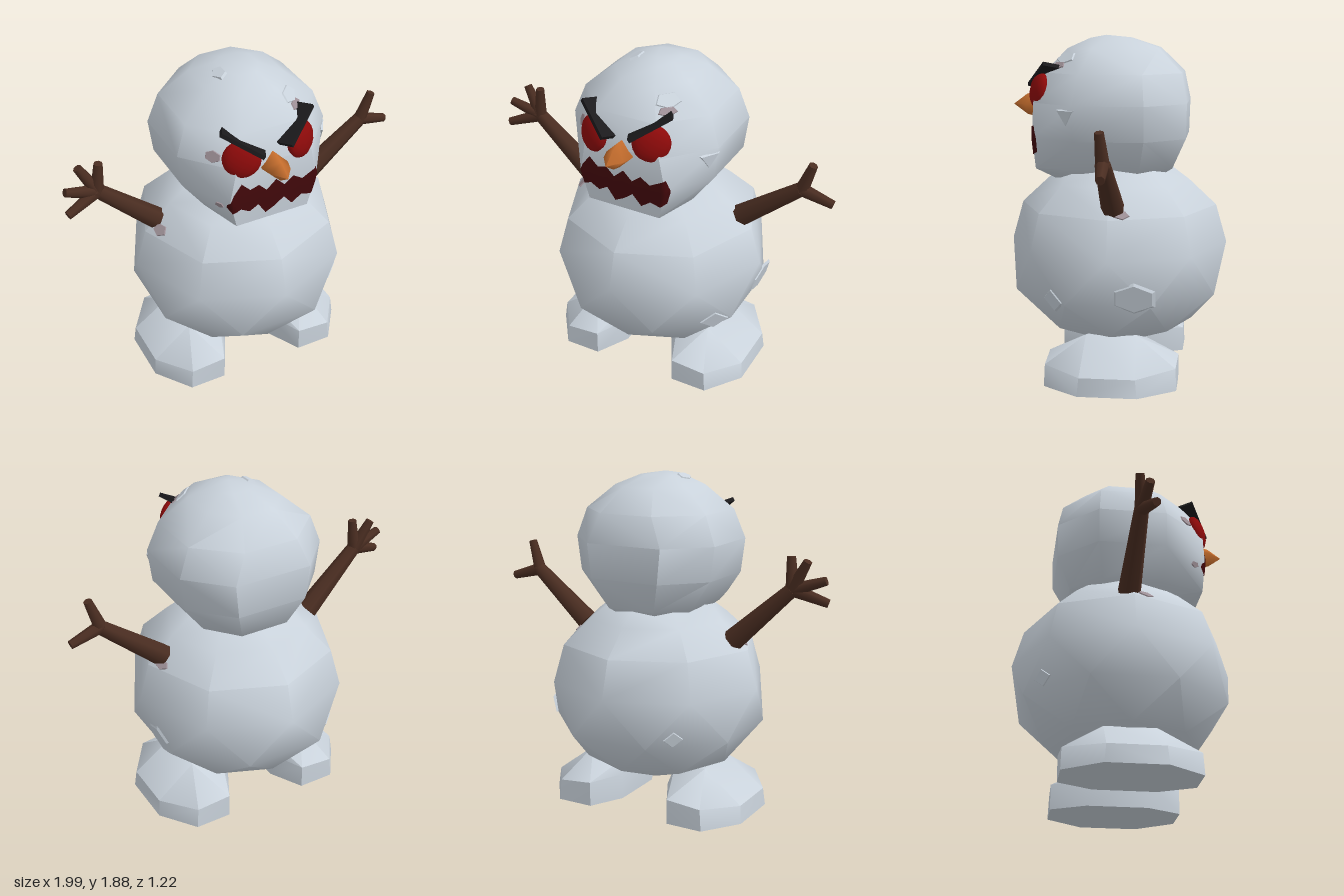
import * as THREE from 'three';
import { toCreasedNormals } from 'three/addons/utils/BufferGeometryUtils.js';
import { ConvexGeometry } from 'three/addons/geometries/ConvexGeometry.js';

const V = (x, y, z) => new THREE.Vector3(x, y, z);
const mat = (name, color, side = THREE.FrontSide) => {
  const m = new THREE.MeshStandardMaterial({ color, side });
  m.name = name;
  return m;
};

export function createModel() {
  const snow = mat('snow', 0xc9d2db);
  const stain = mat('stained snow', 0x9d8f96);
  const wood = mat('bark', 0x4a2d21);
  const carrot = mat('carrot', 0xc86f2e);
  const eyeRed = mat('eye red', 0x8e0a0a);
  const mouthRed = mat('mouth red', 0x43080b, THREE.DoubleSide);
  const black = mat('brow black', 0x1b1a1c);

  const root = new THREE.Group();
  root.name = 'snowman';
  const add = (name, geometry, material, parent = root) => {
    const mesh = new THREE.Mesh(geometry, material);
    mesh.name = name;
    parent.add(mesh);
    return mesh;
  };
  const hull = (points, crease = 0.8) => toCreasedNormals(new ConvexGeometry(points), crease);

  // Body: eight-sided rings [y, radius, stagger] wrapped in a faceted hull
  const bodyPoints = [V(0, 0.155, 0)];
  for (const [y, r, stagger] of [[0.18, 0.18, 0.5], [0.28, 0.42, 0], [0.48, 0.595, 0.5],
    [0.73, 0.61, 0], [0.94, 0.55, 0], [1.08, 0.4, 0], [1.17, 0.28, 0]]) {
    for (let i = 0; i < 8; i++) {
      const a = (i + stagger) * Math.PI / 4;
      bodyPoints.push(V(r * Math.sin(a), y, r * Math.cos(a)));
    }
  }
  const body = add('body', hull(bodyPoints), snow);

  // Head: chamfered rings [y, half width, back z, front z, front flat, back flat]
  const headPoints = [V(0, 1.88, 0.07)];
  for (const [y, w, back, front, flatF, flatB] of [[1.1, 0.2, -0.22, 0.34, 0.7, 0.5],
    [1.16, 0.28, -0.31, 0.435, 0.75, 0.5], [1.33, 0.405, -0.385, 0.445, 0.62, 0.5],
    [1.52, 0.43, -0.39, 0.445, 0.5, 0.52], [1.68, 0.37, -0.36, 0.39, 0.45, 0.42],
    [1.81, 0.22, -0.23, 0.27, 0.45, 0.42], [1.865, 0.1, -0.07, 0.15, 0.5, 0.5]]) {
    for (const s of [-1, 1]) {
      headPoints.push(V(s * w * flatF, y, front), V(s * w, y, front * 0.45),
        V(s * w * flatB, y, back), V(s * w, y, back * 0.45));
    }
  }
  const head = add('head', hull(headPoints), snow);

  // Feet
  for (const s of [-1, 1]) {
    const points = [];
    for (const z of [-1, 1]) {
      for (const [x, y, d] of [[0.15, 0, 0.17], [0.25, 0, 0.36], [0.46, 0, 0.36], [0.605, 0, 0.16],
        [0.15, 0.15, 0.17], [0.25, 0.14, 0.36], [0.45, 0.12, 0.355], [0.595, 0.1, 0.15],
        [0.16, 0.24, 0.1], [0.37, 0.27, 0.14]]) points.push(V(s * x, y, z * d));
    }
    add(s > 0 ? 'leftFoot' : 'rightFoot', hull(points), snow);
  }

  // Arms: tapered sticks that fork into twigs
  const stick = (name, a, b, r0, r1, parent) => {
    const dir = b.clone().sub(a);
    const mesh = add(name, new THREE.CylinderGeometry(r1, r0, dir.length(), 7), wood, parent);
    mesh.position.copy(a).addScaledVector(dir, 0.5);
    mesh.quaternion.setFromUnitVectors(V(0, 1, 0), dir.normalize());
  };
  const arm = (name, base, fork, tips) => {
    const group = new THREE.Group();
    group.name = name;
    root.add(group);
    stick('branch', base, fork, 0.063, 0.04, group);
    for (const tip of tips) stick('twig', fork, tip, 0.037, 0.024, group);
  };
  arm('leftArm', V(0.47, 0.99, -0.02), V(0.815, 1.27, -0.01),
    [V(0.87, 1.435, 0), V(0.99, 1.22, -0.02)]);
  arm('rightArm', V(-0.47, 0.99, -0.02), V(-0.8, 1.3, 0),
    [V(-0.985, 1.235, 0.05), V(-0.98, 1.36, 0.02), V(-0.89, 1.46, -0.02), V(-0.785, 1.475, 0.01)]);

  // Carrot nose with a diamond section
  const nose = add('nose', toCreasedNormals(new THREE.LatheGeometry(
    [[0.068, -0.04], [0.074, 0.03], [0.056, 0.09], [0, 0.165]].map(p => new THREE.Vector2(...p)), 4), 1.6), carrot);
  nose.rotation.x = Math.PI / 2;
  nose.position.set(-0.005, 1.495, 0.43);

  // Eyes: flattened balls turned outwards, cut off by slanted brows
  for (const [name, s, x, y] of [['leftEye', 1, 0.16, 1.585], ['rightEye', -1, -0.175, 1.56]]) {
    const eye = new THREE.Group();
    eye.name = name;
    eye.position.set(x, y, 0.42);
    eye.rotation.set(-0.2, s * 0.46, s * 0.52, 'YXZ');
    root.add(eye);
    const ball = add('eyeball', new THREE.SphereGeometry(0.1, 14, 8, 0, Math.PI * 2, 0.8, Math.PI - 0.8), eyeRed, eye);
    ball.scale.z = 0.45;
    const brow = add('brow', new THREE.BoxGeometry(0.25, 0.022, 0.1), black, eye);
    brow.position.set(s * 0.035, 0.074, -0.015);
  }

  // Mouth: columns [x, top, bottom] with jagged edges, laid on the face
  const columns = [[-0.26, 1.31, 1.29], [-0.235, 1.37, 1.25], [-0.19, 1.43, 1.27], [-0.14, 1.38, 1.24],
    [-0.09, 1.395, 1.27], [-0.045, 1.35, 1.2], [0.01, 1.4, 1.23], [0.06, 1.35, 1.27], [0.11, 1.39, 1.21],
    [0.165, 1.355, 1.25], [0.22, 1.385, 1.235], [0.25, 1.4, 1.255], [0.27, 1.345, 1.33]];
  const ray = new THREE.Raycaster();
  const faceZ = (x, y) => {
    ray.set(V(x, y, 2), V(0, 0, -1));
    return ray.intersectObject(head)[0].point.z;
  };
  const rows = 5, sub = 3, positions = [], index = [];
  const last = (columns.length - 1) * sub;
  for (let i = 0; i <= last; i++) {
    const k = Math.min(Math.floor(i / sub), columns.length - 2);
    const [x, top, bottom] = columns[k].map((v, j) => THREE.MathUtils.lerp(v, columns[k + 1][j], i / sub - k));
    for (let j = 0; j <= rows; j++) {
      const y = THREE.MathUtils.lerp(bottom, top, j / rows);
      positions.push(x, y, faceZ(x, y) + 0.006);
      if (i < last && j < rows) {
        const a = i * (rows + 1) + j, b = a + rows + 1;
        index.push(a, b, b + 1, a, b + 1, a + 1);
      }
    }
  }
  const mouthGeometry = new THREE.BufferGeometry();
  mouthGeometry.setAttribute('position', new THREE.Float32BufferAttribute(positions, 3));
  mouthGeometry.setIndex(index);
  mouthGeometry.computeVertexNormals();
  add('mouth', mouthGeometry, mouthRed);

  // Loose flakes and stains laid on the surface
  const flake = (target, centre, direction, w, h, sides, material = snow) => {
    const dir = direction.normalize();
    ray.set(centre.clone().addScaledVector(dir, 2), dir.clone().negate());
    const hit = ray.intersectObject(target)[0];
    const geometry = new THREE.CylinderGeometry(0.85, 1, 0.012, sides).toNonIndexed();
    geometry.scale(w, 1, h).rotateX(Math.PI / 2);
    geometry.computeVertexNormals();
    const mesh = add(material === snow ? 'snowFlake' : 'stain', geometry, material);
    mesh.position.copy(hit.point);
    mesh.lookAt(hit.point.clone().add(hit.face.normal));
  };
  const bodyCentre = V(0, 0.7, 0), headCentre = V(0, 1.49, 0.02);
  flake(body, bodyCentre, V(1, -0.3, -0.25), 0.13, 0.09, 6);
  flake(body, bodyCentre, V(0.8, -0.35, 0.5), 0.09, 0.07, 4);
  flake(body, bodyCentre, V(0.2, -0.85, 0.6), 0.08, 0.04, 5);
  flake(body, bodyCentre, V(-0.6, -0.3, -0.8), 0.06, 0.05, 4);
  flake(head, headCentre, V(0.42, 0.65, 0.6), 0.08, 0.05, 5);
  flake(head, headCentre, V(0.9, -0.05, 0.5), 0.07, 0.06, 3);
  flake(head, headCentre, V(-0.3, 0.9, 0.1), 0.06, 0.04, 5);
  flake(head, headCentre, V(-0.29, 0.07, 0.31), 0.05, 0.035, 6, stain);
  flake(head, headCentre, V(0.2, 0.24, 0.3), 0.06, 0.03, 5, stain);
  flake(head, headCentre, V(-0.28, -0.2, 0.36), 0.03, 0.02, 5, stain);
  flake(body, bodyCentre, V(-0.52, 0.29, 0.07), 0.05, 0.04, 5, stain);
  flake(body, bodyCentre, V(0.52, 0.27, -0.07), 0.05, 0.03, 5, stain);

  return root;
}
